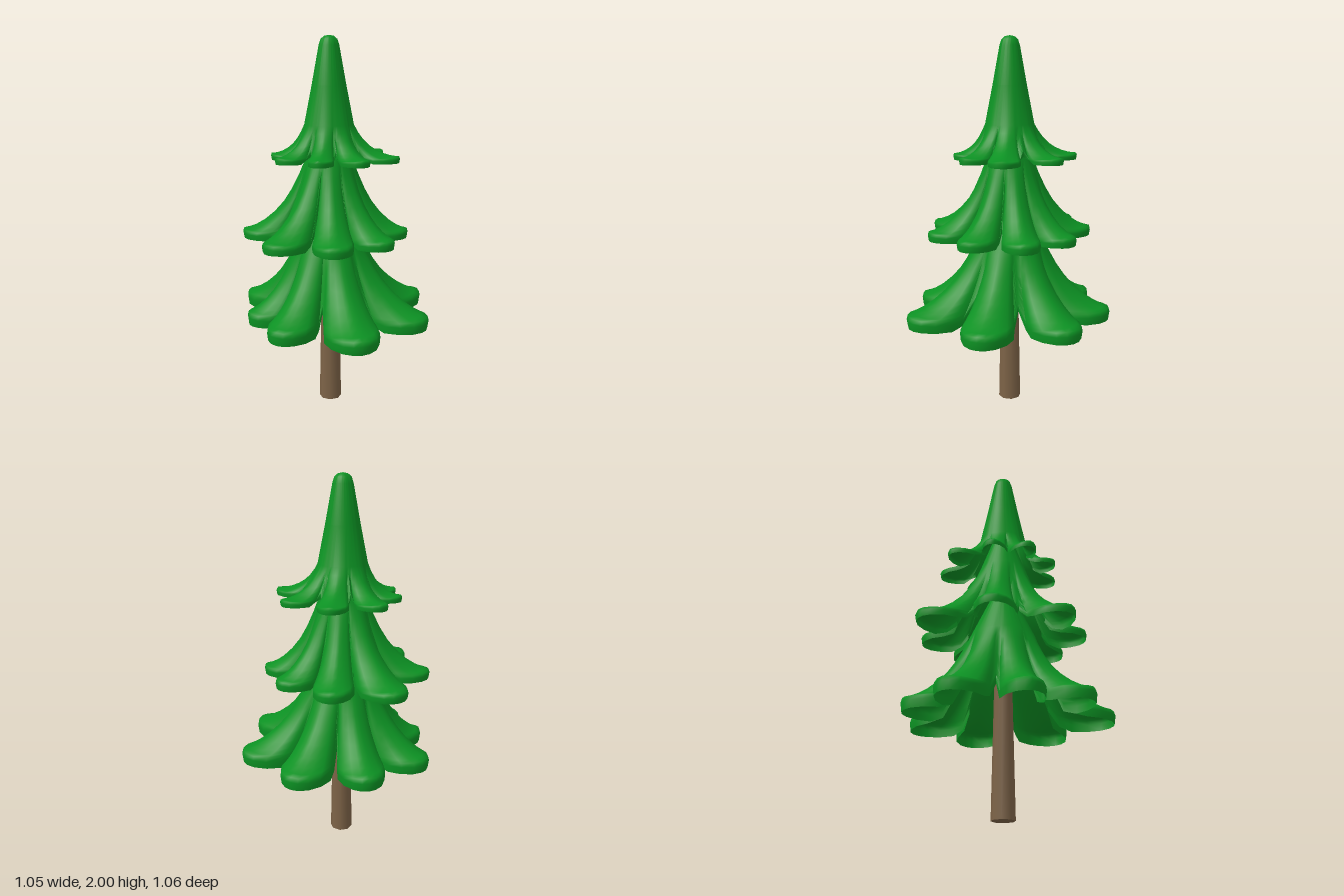
import * as THREE from 'three';
import { toCreasedNormals } from 'three/addons/utils/BufferGeometryUtils.js';

const AXIS = [-0.02, -0.015];

// Fall of a branch from the cone (t = 0) to its rounded rim (t = 1)
const FALL = [[0, 1], [0.1, 0.82], [0.22, 0.63], [0.35, 0.46], [0.5, 0.31], [0.66, 0.18], [0.8, 0.09], [0.92, 0.03], [1, 0]];
// Half outline of a branch: [along length, share of half width, share of straight cone slope]
const OUTLINE = [[0.56, 0.88, 0.5], [0.68, 1, 0.25], [0.82, 0.9, 0.1], [0.93, 0.62, 0], [0.985, 0.3, 0]];

// Tiers: cone = circular rings [radius, y] from the top, the last one starts the branches
const TIERS = [
  {
    name: 'lowerBranches', width: 0.235, valley: 0.5, valleyY: 0.64, rimY: 0.57, bottomY: 0.5, steep: 1.1,
    cone: [[0.06, 1.2], [0.175, 0.95]],
    tips: [[0.51, 0.17], [0.175, 0.52], [-0.29, 0.51], [-0.52, 0.14], [-0.45, -0.18], [-0.2, -0.5], [0.18, -0.49], [0.48, -0.24]],
  },
  {
    name: 'middleBranches', width: 0.235, valley: 0.52, valleyY: 1.04, rimY: 0.99, bottomY: 0.94, steep: 1.2,
    cone: [[0.06, 1.55], [0.125, 1.37]],
    tips: [[0.39, -0.01], [0.29, 0.27], [0.01, 0.41], [-0.3, 0.33], [-0.49, 0.05], [-0.35, -0.34], [0.02, -0.52], [0.3, -0.32]],
  },
  {
    name: 'topBranches', width: 0.22, valley: 0.54, valleyY: 1.43, rimY: 1.395, bottomY: 1.36, steep: 1.4,
    cone: [[0, 2], [0.025, 1.995], [0.043, 1.98], [0.053, 1.95], [0.09, 1.75], [0.13, 1.55]],
    tips: [[0.33, 0.03], [0.17, 0.31], [-0.08, 0.31], [-0.26, 0.16], [-0.33, -0.07], [-0.22, -0.25], [0, -0.36], [0.25, -0.25]],
  },
];

// Rim of a tier: rounded branch outlines joined by raised valleys
function tierRim({ tips, width, valley, valleyY, rimY, bottomY }) {
  const dirs = tips.map(([x, z]) => new THREE.Vector2(x - AXIS[0], z - AXIS[1]));
  const rim = [];
  dirs.forEach((dir, i) => {
    const length = dir.length();
    const along = dir.clone().normalize();
    const side = new THREE.Vector2(-along.y, along.x);
    const add = (a, s, straight) => rim.push({
      p: along.clone().multiplyScalar(a * length).addScaledVector(side, s * width * length),
      y: rimY - 0.01 * Math.abs(s),
      low: bottomY + (a < 0.6 ? 0.02 : 0),
      straight,
    });
    OUTLINE.forEach(([a, s, k]) => add(a, -s, k));
    add(1, 0, 0);
    [...OUTLINE].reverse().forEach(([a, s, k]) => add(a, s, k));
    // Valley halfway to the next branch, following the cone
    const next = dirs[(i + 1) % dirs.length];
    const mid = along.clone().add(next.clone().normalize()).normalize();
    mid.multiplyScalar(valley * (length + next.length()) / 2);
    rim.push({ p: mid, y: valleyY, low: valleyY - 0.035, straight: 0.8 });
  });
  return rim;
}

// Hollow shell: cone rings, sweeping branches and a short downturned edge
function tierGeometry(tier) {
  const rim = tierRim(tier);
  const n = rim.length;
  const positions = [];
  const index = [];
  const rows = [];
  const [coreR, coreY] = tier.cone[tier.cone.length - 1];
  for (const [r, y] of tier.cone.slice(0, -1)) {
    rows.push(({ p }) => { const q = p.clone().setLength(r); return [q.x, y, q.y]; });
  }
  for (const [t, h] of FALL) {
    rows.push((c) => {
      const q = c.p.clone().setLength(coreR).lerp(c.p, t);
      const height = THREE.MathUtils.lerp(h ** tier.steep, 1 - t, c.straight);
      return [q.x, c.y + height * (coreY - c.y), q.y];
    });
  }
  // Rounded lip, then the lower edge
  rows.push((c) => [c.p.x * 1.012, c.y - 0.35 * (c.y - c.low), c.p.y * 1.012]);
  rows.push((c) => [c.p.x, c.low, c.p.y]);

  rows.forEach((row) => rim.forEach((c) => positions.push(...row(c))));
  for (let i = 0; i < rows.length - 1; i++) {
    for (let j = 0; j < n; j++) {
      const k = (j + 1) % n;
      const a = i * n + j, b = i * n + k, c = a + n, d = b + n;
      if (i > 0 || tier.cone[0][0] > 0) index.push(a, b, d);
      index.push(a, d, c);
    }
  }
  const geometry = new THREE.BufferGeometry();
  geometry.setAttribute('position', new THREE.Float32BufferAttribute(positions, 3));
  geometry.setIndex(index);
  return toCreasedNormals(geometry, 1.25);
}

export function createModel() {
  const needles = new THREE.MeshStandardMaterial({ color: 0x0c9123, side: THREE.DoubleSide });
  needles.name = 'needle green';
  const bark = new THREE.MeshStandardMaterial({ color: 0x7d6347 });
  bark.name = 'bark brown';

  const tree = new THREE.Group();
  tree.name = 'pineTree';

  // Trunk
  const trunk = new THREE.Mesh(new THREE.CylinderGeometry(0.047, 0.061, 0.72, 8), bark);
  trunk.name = 'trunk';
  trunk.position.set(AXIS[0] + 0.003, 0.36, AXIS[1] + 0.005);
  tree.add(trunk);

  // Branch tiers
  for (const tier of TIERS) {
    const mesh = new THREE.Mesh(tierGeometry(tier), needles);
    mesh.name = tier.name;
    mesh.position.set(AXIS[0], 0, AXIS[1]);
    tree.add(mesh);
  }
  return tree;
}
